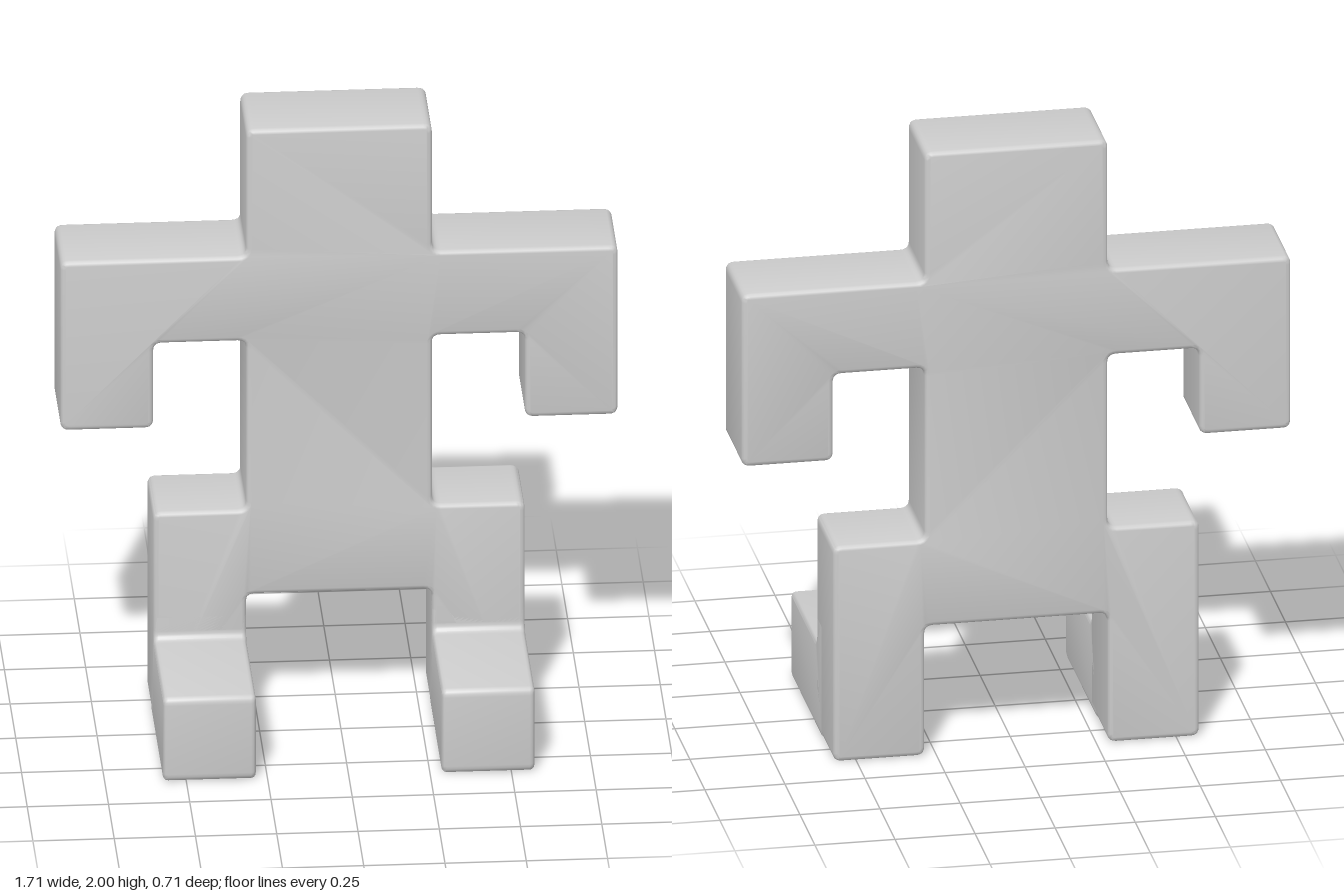
import * as THREE from 'three';
import { toCreasedNormals } from 'three/addons/utils/BufferGeometryUtils.js';

const U = 2 / 7;      // one block of the figure's grid
const BEVEL = 0.015;  // softened edges
const R = 0.027;      // rounded corners of the outlines

// Closed outline through the points, every corner rounded
function roundedShape(points) {
  const pts = points.map(([x, y]) => new THREE.Vector2(x * U, y * U));
  const shape = new THREE.Shape();
  pts.forEach((p, i) => {
    const prev = pts[(i + pts.length - 1) % pts.length];
    const next = pts[(i + 1) % pts.length];
    const a = p.clone().add(prev.clone().sub(p).setLength(R));
    const b = p.clone().add(next.clone().sub(p).setLength(R));
    if (i === 0) shape.moveTo(a.x, a.y);
    else shape.lineTo(a.x, a.y);
    shape.quadraticCurveTo(p.x, p.y, b.x, b.y);
  });
  shape.closePath();
  return shape;
}

// One-block-thick slab with softened edges, centred on its depth
function slab(points) {
  const geometry = new THREE.ExtrudeGeometry(roundedShape(points), {
    depth: U - 2 * BEVEL,
    bevelThickness: BEVEL,
    bevelSize: BEVEL,
    bevelOffset: -BEVEL,
    bevelSegments: 3,
    curveSegments: 5,
  });
  geometry.translate(0, 0, -U / 2 + BEVEL);
  return toCreasedNormals(geometry, 0.7);
}

export function createModel() {
  const group = new THREE.Group();
  const material = new THREE.MeshStandardMaterial({ color: 0xcccccc });

  // Head, arms, torso and legs: right half of the outline, then mirrored
  const half = [
    [1, 1.5], [1, 0], [2, 0], [2, 2.5], [1, 2.5], [1, 4.5], [2, 4.5],
    [2, 3.5], [3, 3.5], [3, 5.5], [1, 5.5], [1, 7],
  ];
  const outline = [...half, ...half.map(([x, y]) => [-x, y]).reverse()];
  const body = new THREE.Mesh(slab(outline), material);
  body.name = 'body';
  body.position.z = -0.75 * U;
  group.add(body);

  // Feet: side profile with a filleted ankle that sinks into the leg
  const footGeometry = slab([
    [-0.6, 0], [1.25, 0], [1.25, 1], [-0.25, 1], [-0.25, 1.35], [-0.6, 1.35],
  ]);
  footGeometry.rotateY(-Math.PI / 2);
  for (const [side, name] of [[1, 'leftFoot'], [-1, 'rightFoot']]) {
    const foot = new THREE.Mesh(footGeometry, material);
    foot.name = name;
    foot.position.x = side * 1.5 * U;
    group.add(foot);
  }
  return group;
}
